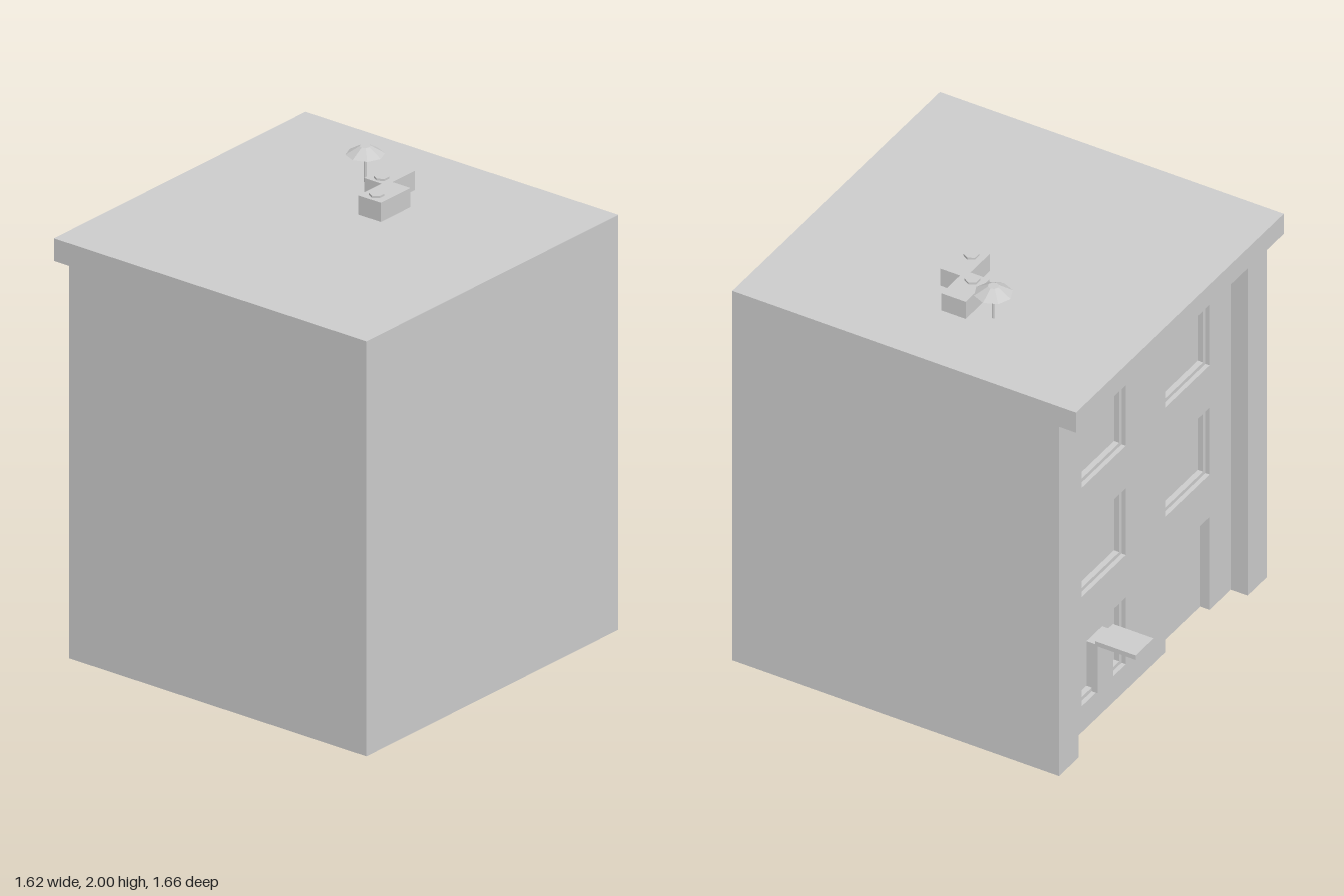
import * as THREE from 'three';

export function createModel() {
  const root = new THREE.Group();
  root.name = 'building';
  const grey = new THREE.MeshStandardMaterial({ color: 0xcccccc, flatShading: true });
  grey.name = 'plain grey';

  const add = (name, geometry, x = 0, y = 0, z = 0) => {
    const mesh = new THREE.Mesh(geometry, grey);
    mesh.name = name;
    mesh.position.set(x, y, z);
    root.add(mesh);
    return mesh;
  };
  // box given by its lower and upper limits on each axis
  const box = (name, x0, x1, y0, y1, z0, z1) =>
    add(name, new THREE.BoxGeometry(x1 - x0, y1 - y0, z1 - z0),
      (x0 + x1) / 2, (y0 + y1) / 2, (z0 + z1) / 2);
  const rectPath = (x0, x1, y0, y1, Type = THREE.Path) => new Type([
    [x0, y0], [x1, y0], [x1, y1], [x0, y1],
  ].map(([x, y]) => new THREE.Vector2(x, y)));
  const extrude = (shape, depth) => new THREE.ExtrudeGeometry(shape, { depth, bevelEnabled: false });

  const wallZ = -0.64, paneZ = -0.595;

  // main block, whose back face shows through the openings
  box('mainBlock', -0.81, 0.81, 0, 1.84, paneZ, 0.83);
  box('cornice', -0.81, 0.81, 1.74, 1.84, -0.8, paneZ);
  for (const [name, x] of [['leftPilaster', 0.66], ['rightPilaster', -0.81]])
    box(name, x, x + 0.15, 0, 1.74, -0.72, paneZ);

  // facade with five windows and a doorway
  const columns = [[0.16, 0.505], [-0.495, -0.15]];
  const windows = [];
  columns.forEach(([x0, x1], col) => {
    for (let floor = col; floor < 3; floor++) {
      const y0 = 0.13 + floor * 0.544;
      windows.push([x0, x1, y0, y0 + 0.333]);
    }
  });
  const [d0, d1] = columns[1];
  const wall = new THREE.Shape([
    [-0.66, 0], [d0, 0], [d0, 0.463], [d1, 0.463], [d1, 0], [0.66, 0], [0.66, 1.74], [-0.66, 1.74],
  ].map(([x, y]) => new THREE.Vector2(x, y)));
  wall.holes = windows.map((w) => rectPath(...w));
  add('facade', extrude(wall, paneZ - wallZ), 0, 0, wallZ);

  // narrow window frames set back in the openings
  for (const [x0, x1, y0, y1] of windows) {
    const frame = rectPath(x0, x1, y0, y1, THREE.Shape);
    const t = 0.018;
    frame.holes = [rectPath(x0 + t, x1 - t, y0 + t, y1 - t)];
    add('windowFrame', extrude(frame, 0.025), 0, 0, paneZ - 0.025);
  }

  // small box in the ground floor window with a projecting slab over it
  box('windowBox', 0.27, 0.392, 0.13, 0.37, -0.647, paneZ);
  box('canopySlab', 0.26, 0.4, 0.37, 0.392, -0.833, wallZ);

  // roof units with hexagonal caps
  box('frontRoofUnit', 0.15, 0.34, 1.84, 1.925, 0.01, 0.128);
  box('backRoofUnit', 0.3, 0.485, 1.84, 1.925, -0.08, 0.035);
  for (const [x, z] of [[0.198, 0.068], [0.343, -0.025]])
    add('roofUnitCap', new THREE.CylinderGeometry(0.032, 0.032, 0.009, 6), x, 1.9295, z).rotation.y = Math.PI / 2;

  // parasol
  add('parasolPole', new THREE.CylinderGeometry(0.006, 0.006, 0.13, 8), 0.42, 1.905, -0.172);
  add('parasolCanopy', new THREE.CylinderGeometry(0.023, 0.081, 0.036, 8), 0.42, 1.982, -0.172);

  return root;
}
